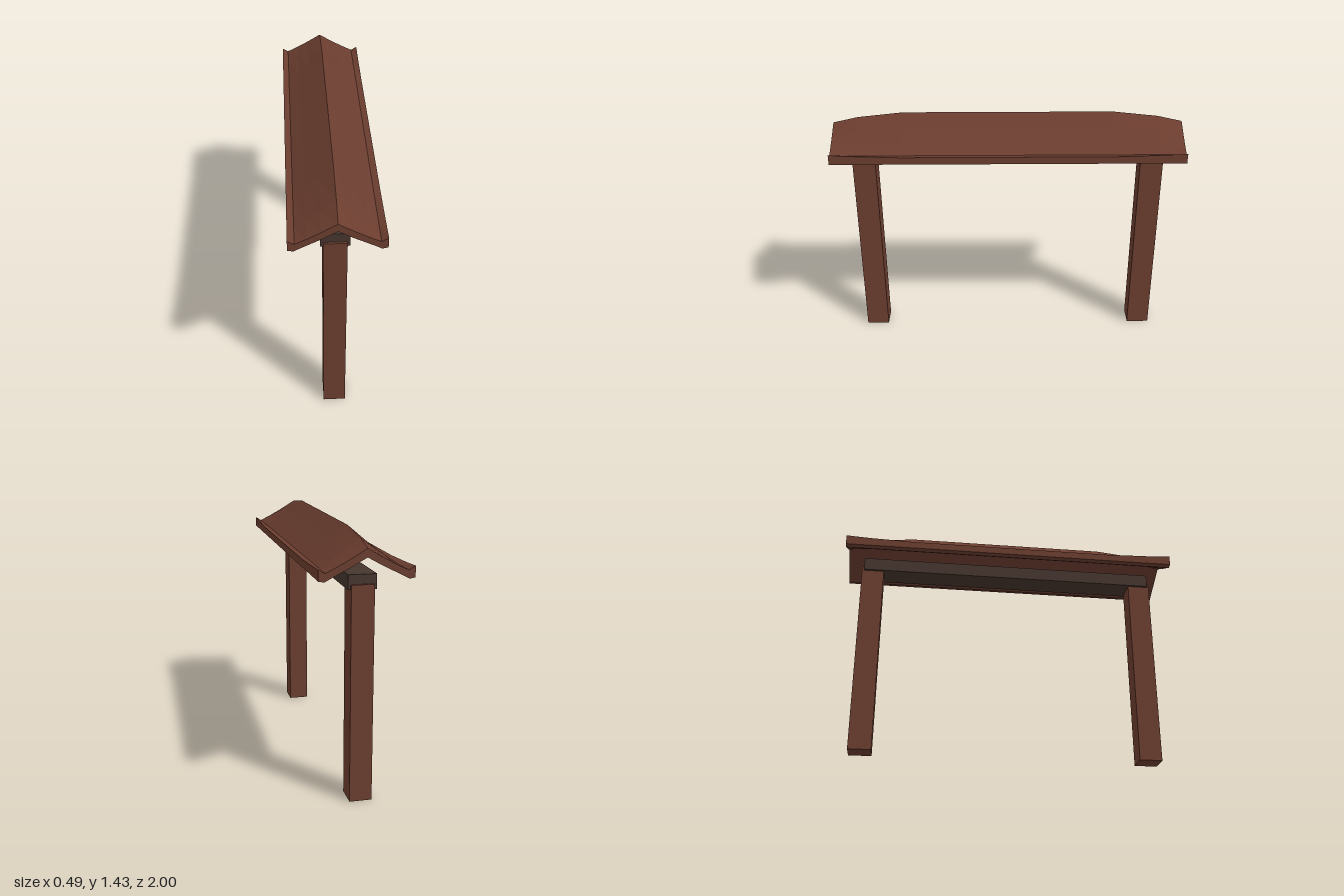
import * as THREE from 'three';

const wood = new THREE.MeshStandardMaterial({ color: 0x6b3d2f });
wood.name = 'red brown wood';
const darkWood = new THREE.MeshStandardMaterial({ color: 0x46362f });
darkWood.name = 'dark wood';

function box(name, material, [x0, x1], [y0, y1], [z0, z1]) {
  const mesh = new THREE.Mesh(new THREE.BoxGeometry(x1 - x0, y1 - y0, z1 - z0), material);
  mesh.position.set((x0 + x1) / 2, (y0 + y1) / 2, (z0 + z1) / 2);
  mesh.name = name;
  return mesh;
}

// Closed roof cross-section, clockwise seen from +z: top from left to right, then underside back.
function roofSection(ridge, lip) {
  const valley = 1.258;
  const at = (t, sag) => ridge + (valley - ridge) * t - sag;
  const top = [[0.245, lip], [0.21, valley], [0.15, at(0.71, 0.004)], [0.08, at(0.38, 0.004)]];
  const under = [[0.08, at(0.38, 0.046)], [0.18, 1.233], [0.215, 1.214], [0.245, 1.22]];
  const mirror = (pts) => pts.map(([x, y]) => [-x, y]);
  return [
    ...mirror(top), [0, ridge], ...[...top].reverse(),
    ...[...under].reverse(), [0, ridge - 0.045], ...mirror(under),
  ];
}

// Loft the cross-sections along z and cap both ends.
function roofGeometry() {
  const stations = [
    [-1, 1.373, 1.278], [-0.86, 1.405, 1.27], [-0.6, 1.433, 1.262],
    [0.6, 1.433, 1.262], [0.86, 1.405, 1.27], [1, 1.373, 1.278],
  ];
  const rings = stations.map(([z, ridge, lip]) =>
    roofSection(ridge, lip).map(([x, y]) => new THREE.Vector3(x, y, z)));
  const positions = [];
  const tri = (...pts) => pts.forEach((p) => positions.push(p.x, p.y, p.z));
  const n = rings[0].length;
  for (let s = 0; s < rings.length - 1; s++) {
    for (let i = 0; i < n; i++) {
      const j = (i + 1) % n;
      const [a, b, c, d] = [rings[s][i], rings[s][j], rings[s + 1][j], rings[s + 1][i]];
      tri(a, d, c);
      tri(a, c, b);
    }
  }
  const front = rings[rings.length - 1], back = rings[0];
  const outline = front.map((p) => new THREE.Vector2(p.x, p.y));
  // Triangulation keeps the outline's winding, so orient each triangle explicitly.
  for (const [a, b, c] of THREE.ShapeUtils.triangulateShape(outline, [])) {
    const [p, q, r] = [outline[a], outline[b], outline[c]];
    const ccw = (q.x - p.x) * (r.y - p.y) - (q.y - p.y) * (r.x - p.x) > 0;
    const [u, v] = ccw ? [b, c] : [c, b];
    tri(front[a], front[u], front[v]);
    tri(back[a], back[v], back[u]);
  }
  const geometry = new THREE.BufferGeometry();
  geometry.setAttribute('position', new THREE.Float32BufferAttribute(positions, 3));
  geometry.computeVertexNormals();
  return geometry;
}

export function createModel() {
  const group = new THREE.Group();
  group.name = 'roofedGate';

  // Two square posts
  group.add(box('frontPost', wood, [-0.067, 0.055], [0, 1.174], [0.772, 0.905]));
  group.add(box('backPost', wood, [-0.067, 0.055], [0, 1.174], [-0.905, -0.772]));

  // Beam across the posts
  group.add(box('crossBeam', darkWood, [-0.081, 0.069], [1.147, 1.225], [-0.892, 0.892]));

  // Gabled roof with upturned eaves and a drooping ridge
  const roof = new THREE.Mesh(roofGeometry(), wood);
  roof.name = 'roof';
  group.add(roof);
  return group;
}
